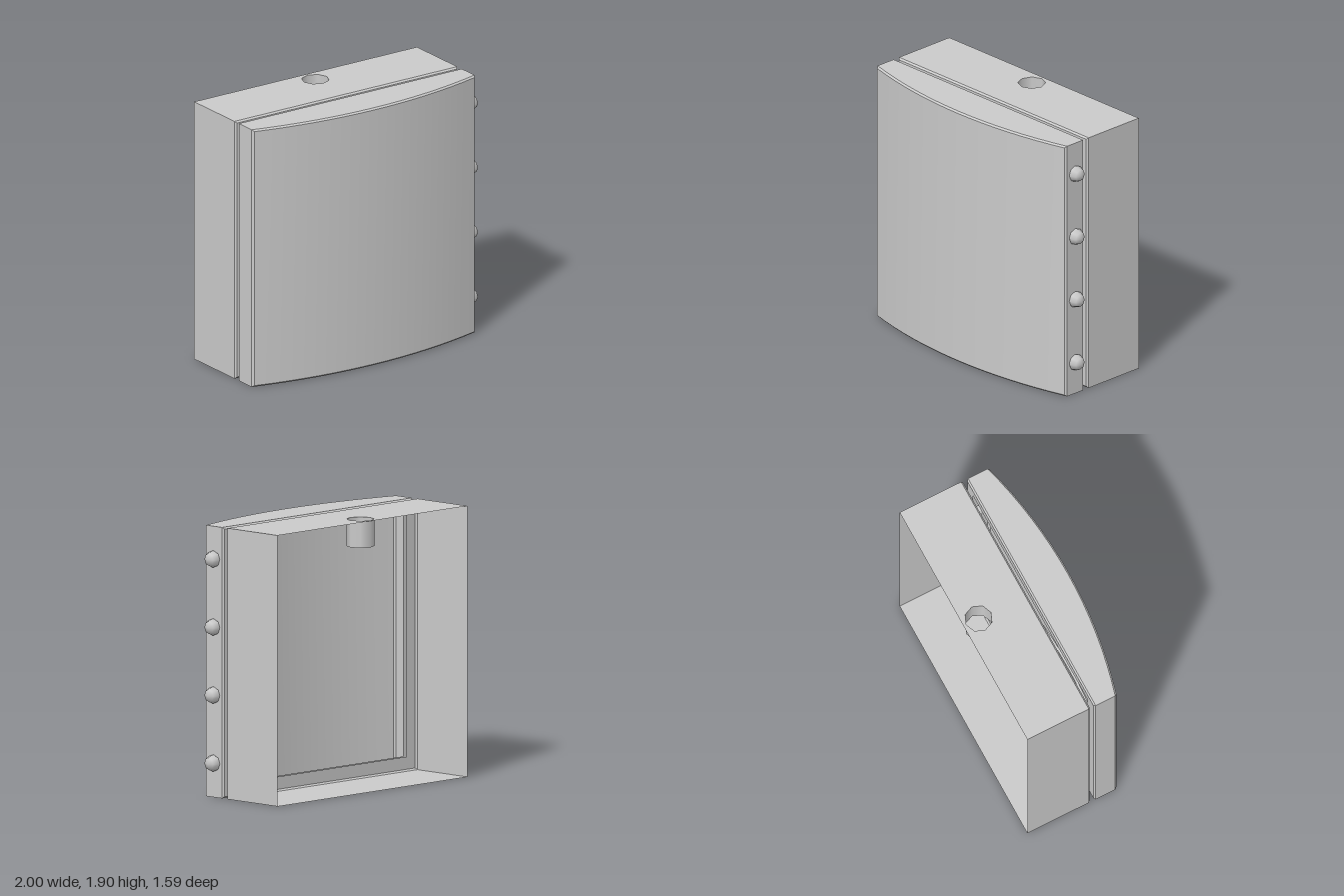
import * as THREE from 'three';
import { toCreasedNormals } from 'three/addons/utils/BufferGeometryUtils.js';

const X0 = -0.955, X1 = 0.94, H = 1.9, BEVEL = 0.012, LIP = 0.1;
const XC = (X0 + X1) / 2;
const material = new THREE.MeshStandardMaterial({ color: 0xcccccc, side: THREE.DoubleSide });

// Rectangular loop in the x/y plane, n divisions along bottom and top; depth may vary with x
function ring(inset, depth, n) {
  const pts = [];
  for (const top of [false, true]) {
    for (let i = 0; i <= n; i++) {
      const t = top ? 1 - i / n : i / n;
      const x = THREE.MathUtils.lerp(X0 + inset, X1 - inset, t);
      pts.push([x, top ? H - inset : inset, depth(x)]);
    }
  }
  return pts;
}

// Skin consecutive loops, optionally skipping quads and closing the last loop
function loft(rings, n, { skip = () => false, cap = false } = {}) {
  const count = 2 * n + 2, index = [];
  const quad = (a, b, c, d) => index.push(a, b, c, a, c, d);
  for (let r = 0; r < rings.length - 1; r++) {
    for (let i = 0; i < count; i++) {
      if (skip(r, i)) continue;
      const j = (i + 1) % count;
      quad(r * count + i, r * count + j, (r + 1) * count + j, (r + 1) * count + i);
    }
  }
  if (cap) {
    const o = (rings.length - 1) * count;
    for (let i = 0; i < n; i++) quad(o + i, o + i + 1, o + count - 2 - i, o + count - 1 - i);
  }
  const g = new THREE.BufferGeometry();
  g.setAttribute('position', new THREE.Float32BufferAttribute(rings.flat(2), 3));
  g.setIndex(index);
  return toCreasedNormals(g, 0.35);
}

export function createModel() {
  const model = new THREE.Group();
  model.name = 'wallBox';
  const body = new THREE.Group();
  body.name = 'body';
  body.rotation.y = 0.556;
  model.add(body);

  const add = (name, geometry, parent = body) => {
    const mesh = new THREE.Mesh(geometry, material);
    mesh.name = name;
    parent.add(mesh);
    return mesh;
  };

  // Rear frame: thin walls open at the back, with an inward lip at the front
  const back = -0.358, front = 0.136;
  const flat = z => () => z;
  const frame = new THREE.Group();
  frame.name = 'frame';
  body.add(frame);
  add('frameWalls', loft([
    ring(0, flat(back), 1),
    ring(0, flat(front - BEVEL), 1),
    ring(BEVEL, flat(front), 1),
    ring(LIP, flat(front), 1),
  ], 1, { skip: (r, i) => r === 0 && i === 2 }), frame);

  // Top wall with an eight-sided inlet hole
  const holeR = 0.097, holeZ = -0.24;
  const top = new THREE.Shape([
    new THREE.Vector2(X0, -front + BEVEL), new THREE.Vector2(X1, -front + BEVEL),
    new THREE.Vector2(X1, -back), new THREE.Vector2(X0, -back),
  ]);
  const holePts = [];
  for (let i = 0; i < 8; i++) {
    const a = -i * Math.PI / 4;
    holePts.push(new THREE.Vector2(XC + holeR * Math.cos(a), -holeZ + holeR * Math.sin(a)));
  }
  top.holes.push(new THREE.Path(holePts));
  add('frameTop', new THREE.ShapeGeometry(top).rotateX(-Math.PI / 2), frame).position.y = H;

  // Open inlet tube hanging from the hole
  const tubeL = 0.19;
  add('inletTube', new THREE.CylinderGeometry(holeR, holeR, tubeL, 8, 1, true), frame)
    .position.set(XC, H - tubeL / 2, holeZ);

  // Door: hollow shell with a lip at the back and a front bowed along x
  const N = 16, doorBack = 0.166, doorEdge = 0.343, bulge = 0.13;
  const half = (X1 - X0) / 2, R = (half * half + bulge * bulge) / (2 * bulge);
  const bow = x => doorEdge + bulge - R + Math.sqrt(R * R - (x - XC) ** 2);
  add('door', loft([
    ring(LIP, flat(doorBack), N),
    ring(BEVEL, flat(doorBack), N),
    ring(0, flat(doorBack + BEVEL), N),
    ring(0, x => bow(x) - BEVEL, N),
    ring(BEVEL, bow, N),
  ], N, { cap: true }));

  // Row of knobs along the door's side
  const knobs = new THREE.Group();
  knobs.name = 'sideKnobs';
  body.add(knobs);
  for (let i = 0; i < 4; i++) {
    const knob = add('knob', new THREE.SphereGeometry(0.06, 8, 4), knobs);
    knob.rotation.z = -Math.PI / 2;
    knob.position.set(0.95, 0.24 + i * 0.477, 0.255);
  }
  return model;
}
